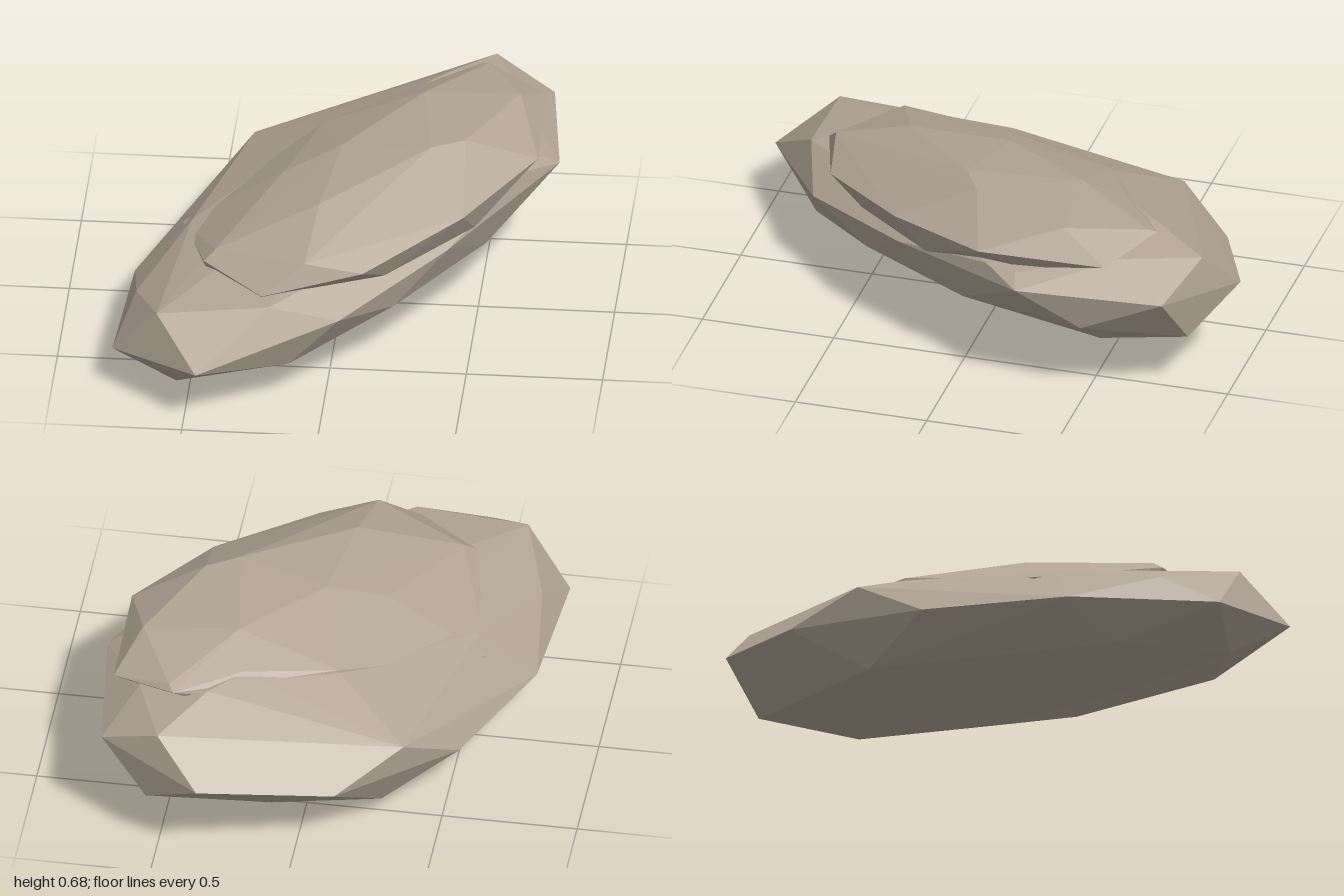
import * as THREE from 'three';
import { ConvexGeometry } from 'three/addons/geometries/ConvexGeometry.js';

const stone = new THREE.MeshStandardMaterial({ color: 0xb2a595, flatShading: true });
stone.name = 'warm grey stone';

// Faceted convex slab spanned by its corner points
function slab(name, corners) {
  const points = corners.map(([x, y, z]) => new THREE.Vector3(x, y, z));
  const mesh = new THREE.Mesh(new ConvexGeometry(points), stone);
  mesh.name = name;
  return mesh;
}

export function createModel() {
  const rock = new THREE.Group();
  rock.name = 'layeredRock';

  // Broad base slab, rising towards the back left
  rock.add(slab('lowerSlab', [
    // rim
    [-0.45, 0.23, 1.0], [-0.78, 0.165, 0.71], [-0.745, 0.18, 0.16], [-0.54, 0.2, -0.36],
    [-0.15, 0.28, -0.81], [0.33, 0.38, -1.0], [0.71, 0.45, -0.81], [0.775, 0.465, -0.27],
    [0.41, 0.39, 0.28], [0.05, 0.32, 0.71],
    // underside
    [-0.54, 0.075, 0.77], [-0.61, 0.065, 0.35], [-0.3, 0.02, 0.42], [0, 0, -0.02],
    [-0.28, 0.075, -0.53], [0.1, 0.14, -0.7], [0.45, 0.13, -0.5], [0.54, 0.24, -0.86],
    [0.71, 0.31, -0.5], [0.53, 0.27, 0], [0.23, 0.245, 0.45], [-0.13, 0.155, 0.75],
    [0.14, 0.11, 0.27], [0.4, 0.16, -0.2],
    // upper face
    [-0.61, 0.37, 0.8], [-0.71, 0.29, 0.5], [-0.2, 0.41, 0.79], [-0.37, 0.44, 0.5],
    [-0.54, 0.38, 0.12], [-0.37, 0.36, -0.58], [-0.1, 0.52, -0.38], [0.23, 0.6, -0.54],
    [0.34, 0.6, -0.67], [0.6, 0.56, -0.62], [0.49, 0.55, -0.9], [0.71, 0.505, -0.25],
    [0.67, 0.505, -0.13],
  ]));

  // Thinner slab resting on top, overhanging at the front and right
  rock.add(slab('upperSlab', [
    // rim
    [0.46, 0.615, -0.72], [0.7, 0.57, -0.59], [0.71, 0.57, -0.11], [0.47, 0.53, 0.28],
    [0.13, 0.47, 0.62], [-0.08, 0.525, 0.66], [-0.23, 0.42, 0.73], [-0.46, 0.445, 0.53],
    [-0.48, 0.42, 0.31], [-0.58, 0.33, 0.05],
    // underside
    [-0.1, 0.41, 0.66], [0.2, 0.39, 0.48], [0.5, 0.42, 0.15], [0.66, 0.5, -0.25],
    // buried edge meeting the base
    [-0.25, 0.35, 0.66], [-0.44, 0.3, 0.45], [-0.4, 0.3, -0.1], [-0.1, 0.4, -0.42],
    [0.3, 0.48, -0.6], [0.58, 0.5, -0.55],
    // crown
    [-0.42, 0.48, 0.5], [-0.21, 0.56, 0.05], [-0.05, 0.615, 0.37], [0, 0.64, -0.03],
    [0.33, 0.683, 0.04], [0.45, 0.679, -0.03], [0.27, 0.675, -0.38], [0.62, 0.667, -0.41],
    [0.48, 0.63, -0.69], [0.23, 0.605, -0.54], [-0.1, 0.53, -0.38],
  ]));

  return rock;
}
